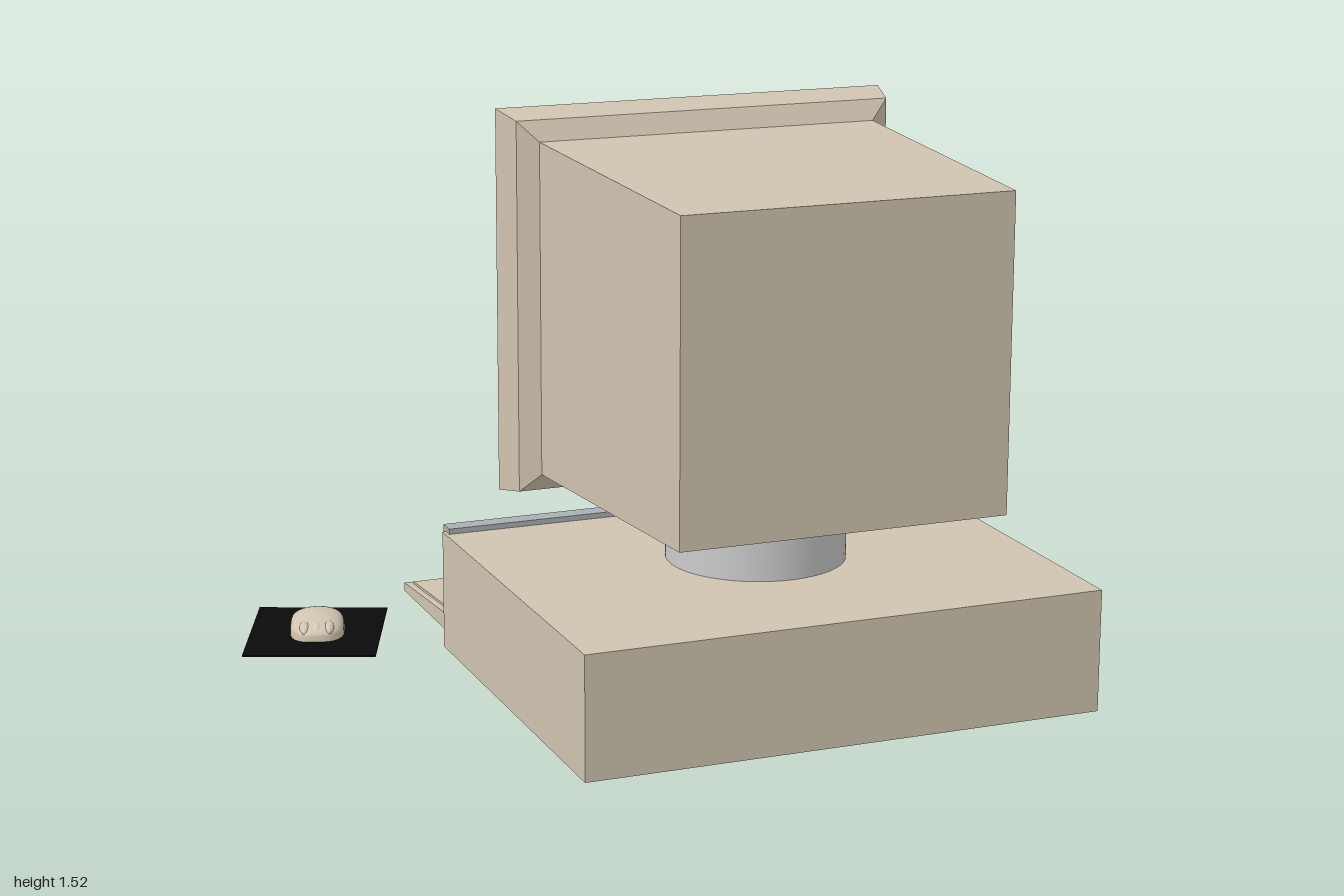
import * as THREE from 'three';

const mat = (color) => new THREE.MeshStandardMaterial({ color });
const BEIGE = mat(0xd0c4b0), GREY = mat(0xaab0b4), NECK = mat(0xcccccc), BLACK = mat(0x0a0a0a);
const DARK = mat(0x44474a), GREEN = mat(0x9db088), BLUE = mat(0x4a80b0), RED = mat(0xc07060);

export function createModel() {
  const root = new THREE.Group();
  root.name = 'desktopComputer';

  const add = (name, geometry, material, parent = root) => {
    const mesh = new THREE.Mesh(geometry, material);
    mesh.name = name;
    parent.add(mesh);
    return mesh;
  };
  // Box given by its limits on each axis
  const box = (name, [x0, x1], [y0, y1], [z0, z1], material, parent) => {
    const geo = new THREE.BoxGeometry(x1 - x0, y1 - y0, z1 - z0);
    geo.translate((x0 + x1) / 2, (y0 + y1) / 2, (z0 + z1) / 2);
    return add(name, geo, material, parent);
  };

  // System unit
  box('case', [-0.445, 1], [0, 0.335], [-0.31, 0.82], BEIGE);
  box('frontPanel', [-0.435, 0.98], [0.045, 0.35], [-0.333, -0.28], GREY);

  // Seams of the panel: vertical dividers, drive bay and edge lines
  const FACE = [-0.335, -0.33];
  for (const x of [0.45, -0.3]) box('panelSeam', [x - 0.003, x + 0.003], [0.045, 0.348], FACE, DARK);
  box('baySeam', [-0.3, 0.45], [0.257, 0.263], FACE, DARK);
  box('coverSeam', [0.845, 0.97], [0.337, 0.341], FACE, DARK);
  box('coverNotch', [0.842, 0.848], [0.318, 0.341], FACE, DARK);
  box('controlSeam', [-0.42, -0.3], [0.337, 0.341], FACE, DARK);
  box('controlSeam', [-0.422, -0.418], [0.055, 0.341], FACE, DARK);

  // Floppy drive
  box('driveLatch', [-0.045, 0.16], [0.295, 0.32], [-0.337, -0.33], GREY);
  box('driveLatchShadow', [-0.045, 0.16], [0.29, 0.296], FACE, DARK);
  box('driveLip', [-0.14, 0.24], [0.268, 0.285], [-0.336, -0.33], GREY);
  box('driveSlot', [-0.14, 0.24], [0.273, 0.279], [-0.337, -0.33], DARK);

  // Indicator lamps and power button
  const button = (name, y, r, material) => {
    const geo = new THREE.CylinderGeometry(r, r, 0.012, 24).rotateX(Math.PI / 2);
    add(name, geo, material).position.set(-0.37, y, -0.334);
  };
  button('lamp', 0.255, 0.016, BLUE);
  button('lamp', 0.195, 0.016, BLUE);
  button('powerButton', 0.11, 0.038, RED);

  // Monitor stand
  add('monitorNeck', new THREE.CylinderGeometry(0.245, 0.245, 0.225, 48), NECK).position.set(0.28, 0.4425, 0.2);

  // Monitor shell: rectangular rings from the back to the recessed screen
  const rings = [ // half width, bottom, top, z
    [0.455, 0.56, 1.41, 0.79], [0.49, 0.525, 1.445, -0.125], [0.545, 0.475, 1.5, -0.155],
    [0.568, 0.455, 1.52, -0.26], [0.503, 0.54, 1.465, -0.26], [0.483, 0.555, 1.445, -0.21],
  ];
  const cx = 0.273, pos = [], idx = [0, 1, 2, 0, 2, 3];
  rings.forEach(([w, y0, y1, z], i) => {
    pos.push(cx - w, y0, z, cx + w, y0, z, cx + w, y1, z, cx - w, y1, z);
    if (i === 0) return;
    for (let j = 0; j < 4; j++) {
      const k = (j + 1) % 4, p = 4 * (i - 1), q = 4 * i;
      idx.push(p + j, q + j, q + k, p + j, q + k, p + k);
    }
  });
  const indexed = new THREE.BufferGeometry();
  indexed.setAttribute('position', new THREE.Float32BufferAttribute(pos, 3));
  indexed.setIndex(idx);
  const shell = indexed.toNonIndexed();
  shell.computeVertexNormals();
  add('monitorShell', shell, BEIGE);
  box('screen', [cx - 0.484, cx + 0.484], [0.554, 1.446], [-0.212, -0.19], BLACK);

  // Monitor buttons
  for (const [x0, x1] of [[0.68, 0.76], [0.585, 0.665], [-0.235, -0.145]]) {
    box('monitorButton', [x0, x1], [0.478, 0.522], [-0.266, -0.255], GREEN);
  }

  // Keyboard: wedge body extruded sideways
  const keyboard = new THREE.Group();
  keyboard.name = 'keyboard';
  root.add(keyboard);
  const wedge = new THREE.Shape([[0.42, 0.005], [0.825, 0.005], [0.825, 0.03], [0.42, 0.055]]
    .map(([s, y]) => new THREE.Vector2(s, y)));
  const wedgeGeo = new THREE.ExtrudeGeometry(wedge, { depth: 1.345, bevelEnabled: false });
  add('keyboardBody', wedgeGeo.rotateY(Math.PI / 2), BEIGE, keyboard).position.x = -0.4;

  // Key blocks lying on the slope
  const SLOPE = 0.0617;
  const keys = ([x0, x1], [z0, z1]) => {
    const z = (z0 + z1) / 2;
    const block = add('keyBlock', new THREE.BoxGeometry(x1 - x0, 0.014, z1 - z0), BEIGE, keyboard);
    block.position.set((x0 + x1) / 2, 0.055 + (z + 0.42) * SLOPE, z);
    block.rotation.x = -SLOPE;
  };
  const topRow = [-0.495, -0.45];
  keys([-0.38, -0.16], [-0.8, -0.515]);
  keys([-0.38, -0.16], topRow);
  for (const span of [[-0.135, 0.045], [0.065, 0.925]]) {
    for (const row of [[-0.8, -0.735], [-0.71, -0.515], topRow]) keys(span, row);
  }

  // Mouse on its pad, turned together
  const pointer = new THREE.Group();
  pointer.name = 'mouseAndPad';
  pointer.position.set(-0.75, 0, -0.542);
  pointer.rotation.y = -0.373;
  root.add(pointer);
  box('mousePad', [-0.185, 0.185], [0.006, 0.011], [-0.215, 0.215], BLACK, pointer);

  // Rounded hull: a dome squared off in plan and lower toward the buttons
  const hull = new THREE.SphereGeometry(1, 32, 12, 0, Math.PI * 2, 0, Math.PI / 2);
  const p = hull.attributes.position;
  for (let i = 0; i < p.count; i++) {
    const x = p.getX(i), y = p.getY(i), z = p.getZ(i);
    const square = 1 + 0.5 * x * x * z * z;
    p.setXYZ(i, 0.076 * x * square, 0.058 * Math.sqrt(y) * (1 - 0.18 * z * z - 0.1 * z), 0.105 * z * square);
  }
  hull.computeVertexNormals();
  const mouse = new THREE.Group();
  mouse.name = 'mouse';
  mouse.position.set(0.003, 0.011, -0.005);
  mouse.rotation.y = 0.08;
  pointer.add(mouse);
  add('mouseHull', hull, BEIGE, mouse);
  for (const x of [-0.034, 0, 0.034]) {
    const geo = new THREE.SphereGeometry(1, 16, 10).scale(0.015, 0.012, 0.028);
    const key = add('mouseButton', geo, BEIGE, mouse);
    key.position.set(x, 0.031, 0.072);
    key.rotation.x = 0.4;
  }
  return root;
}
